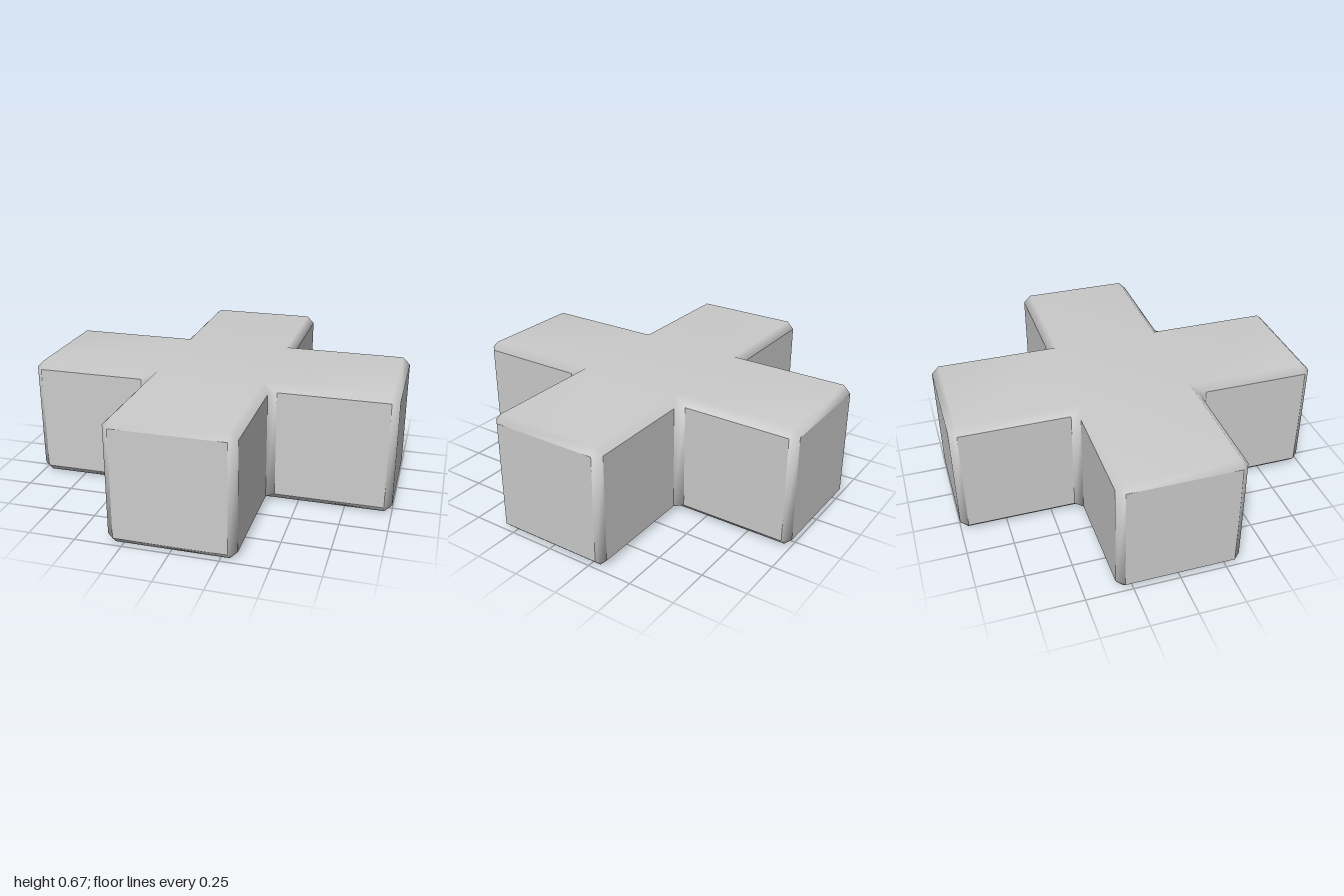
import * as THREE from 'three';

const H = 2 / 3;   // block height
const W = 1 / 3;   // half width of each arm
const C = 0.04;    // chamfer size

// Twelve plan corners, counter-clockwise from above.
// Each holds: t = inset cap point, a / b = wall points before and after the chamfer.
function planCorners() {
  const arm = [
    { t: [1 - C, -W + C], a: [1 - C, -W], b: [1, -W + C] },
    { t: [1 - C, W - C], a: [1, W - C], b: [1 - C, W] },
    { t: [W - C, W - C], a: [W + C, W], b: [W, W + C] },
  ];
  const corners = [];
  for (let k = 0; k < 4; k++) {
    const turn = ([x, y]) => [[x, y], [-y, x], [-x, -y], [y, -x]][k];
    for (const c of arm) corners.push({ t: turn(c.t), a: turn(c.a), b: turn(c.b) });
  }
  return corners;
}

function makeGeometry(positions, quads) {
  const geometry = new THREE.BufferGeometry();
  geometry.setAttribute('position', new THREE.Float32BufferAttribute(positions, 3));
  const index = [];
  for (const [p, q, r, s] of quads) {
    index.push(p, q, r);
    if (s !== undefined) index.push(p, r, s);
  }
  geometry.setIndex(index);
  geometry.computeVertexNormals();
  return geometry;
}

export function createModel() {
  const group = new THREE.Group();
  group.name = 'crossBlock';
  const material = new THREE.MeshStandardMaterial({ color: 0xcccccc });
  const corners = planCorners();
  const n = corners.length;

  const shell = [], shellFaces = [];
  const walls = [], wallFaces = [];
  const T = 0, AT = 1, BT = 2, AB = 3, BB = 4, B = 5; // points at one corner
  const id = (i, part) => ((i + n) % n) * 6 + part;
  const put = (list, [x, y], h) => list.push(x, h, -y);

  corners.forEach((c, i) => {
    const next = corners[(i + 1) % n];
    put(shell, c.t, H);
    put(shell, c.a, H - C);
    put(shell, c.b, H - C);
    put(shell, c.a, C);
    put(shell, c.b, C);
    put(shell, c.t, 0);

    // Edge bevels, upright corner strip and its two end triangles
    shellFaces.push(
      [id(i, BT), id(i + 1, AT), id(i + 1, T), id(i, T)],
      [id(i, BB), id(i, B), id(i + 1, B), id(i + 1, AB)],
      [id(i, AB), id(i, BB), id(i, BT), id(i, AT)],
      [id(i, AT), id(i, BT), id(i, T)],
      [id(i, BB), id(i, AB), id(i, B)],
    );

    // Flat wall panel with its own corners, so its edges stay crisp
    put(walls, c.b, C);
    put(walls, next.a, C);
    put(walls, next.a, H - C);
    put(walls, c.b, H - C);
    wallFaces.push([0, 1, 2, 3].map((v) => i * 4 + v));
  });

  // Top and bottom caps: four arms and the centre square
  const caps = [[2, 5, 8, 11]];
  for (let k = 0; k < n; k += 3) caps.push([k - 1, k, k + 1, k + 2]);
  for (const cap of caps) {
    shellFaces.push(cap.map((i) => id(i, T)));
    shellFaces.push(cap.map((i) => id(i, B)).reverse());
  }

  const body = new THREE.Mesh(makeGeometry(shell, shellFaces), material);
  body.name = 'bevelledCaps';
  const panels = new THREE.Mesh(makeGeometry(walls, wallFaces), material);
  panels.name = 'wallPanels';
  group.add(body, panels);
  return group;
}
